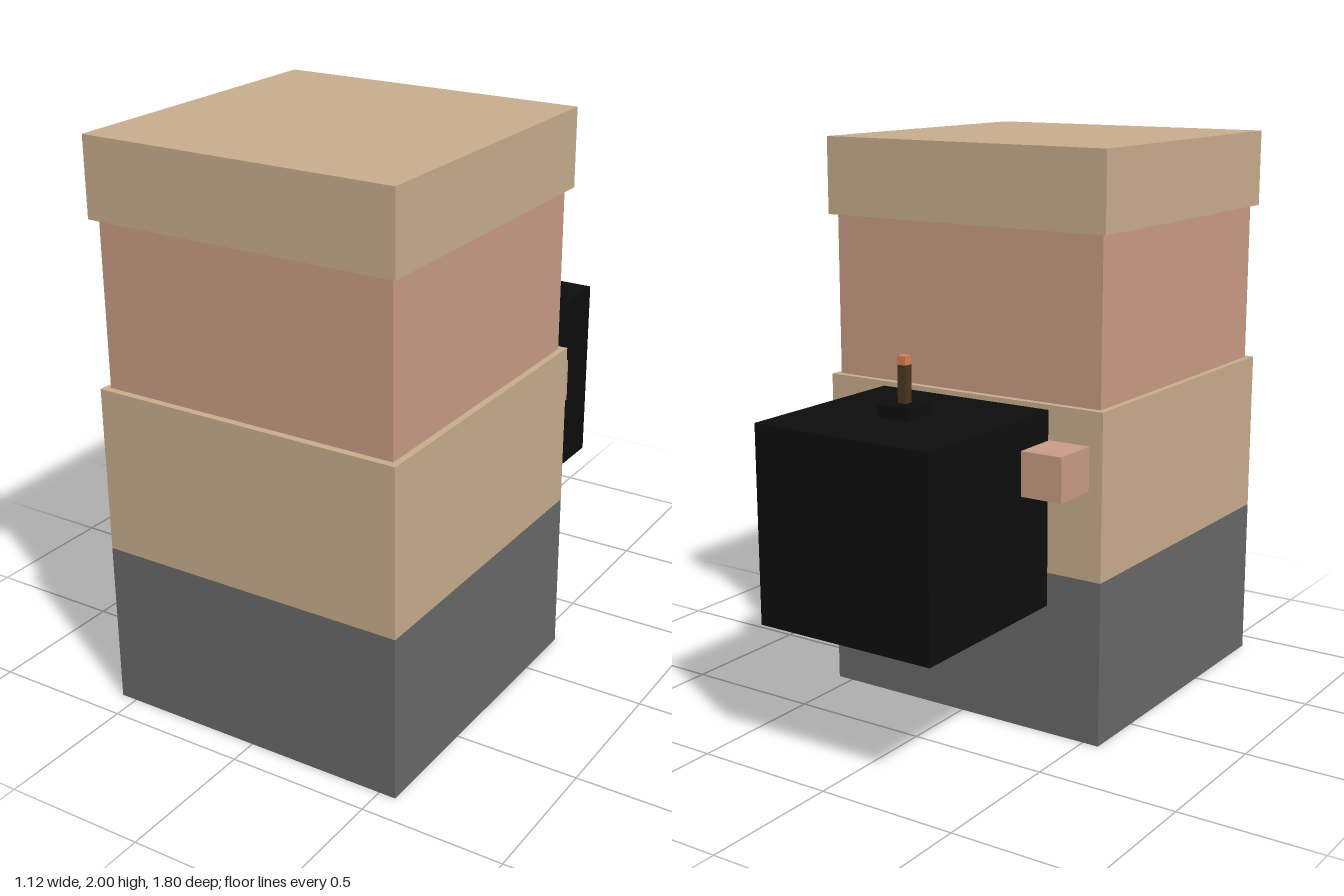
import * as THREE from 'three';

const material = (color) => new THREE.MeshStandardMaterial({ color });

export function createModel() {
  const model = new THREE.Group();
  const tan = material(0xc8ad8d);
  const skin = material(0xc99b85);
  const grey = material(0x686868);
  const black = material(0x0d0d0d);
  const brown = material(0x4a3520);
  const orange = material(0xd98050);

  // Box given by its centre in x and z, its bottom and its size
  const addBox = (name, mat, [w, h, d], x, bottom, z) => {
    const mesh = new THREE.Mesh(new THREE.BoxGeometry(w, h, d), mat);
    mesh.name = name;
    mesh.position.set(x, bottom + h / 2, z);
    model.add(mesh);
  };

  // Stacked figure
  const figureZ = 0.337;
  addBox('legs', grey, [1.12, 0.58, 1.125], 0, 0, figureZ);
  addBox('torso', tan, [1.12, 0.58, 1.125], 0, 0.58, figureZ);
  addBox('head', skin, [1.075, 0.57, 1.075], 0, 1.16, figureZ);
  addBox('hat', tan, [1.12, 0.27, 1.125], 0, 1.73, figureZ);

  // Bomb carried behind, slightly off centre
  const bombX = -0.013;
  const fuseZ = -0.557;
  addBox('bomb', black, [0.68, 0.68, 0.675], bombX, 0.463, -0.5625);
  addBox('bombCap', black, [0.127, 0.044, 0.127], bombX, 1.143, fuseZ);
  addBox('fuse', brown, [0.032, 0.126, 0.032], bombX, 1.187, fuseZ);
  addBox('fuseTip', orange, [0.032, 0.03, 0.032], bombX, 1.313, fuseZ);

  // Hands gripping both sides of the bomb
  for (const side of [-1, 1]) {
    const name = side > 0 ? 'leftHand' : 'rightHand';
    addBox(name, skin, [0.153, 0.153, 0.175], bombX + side * 0.421, 0.888, -0.31);
  }

  return model;
}
